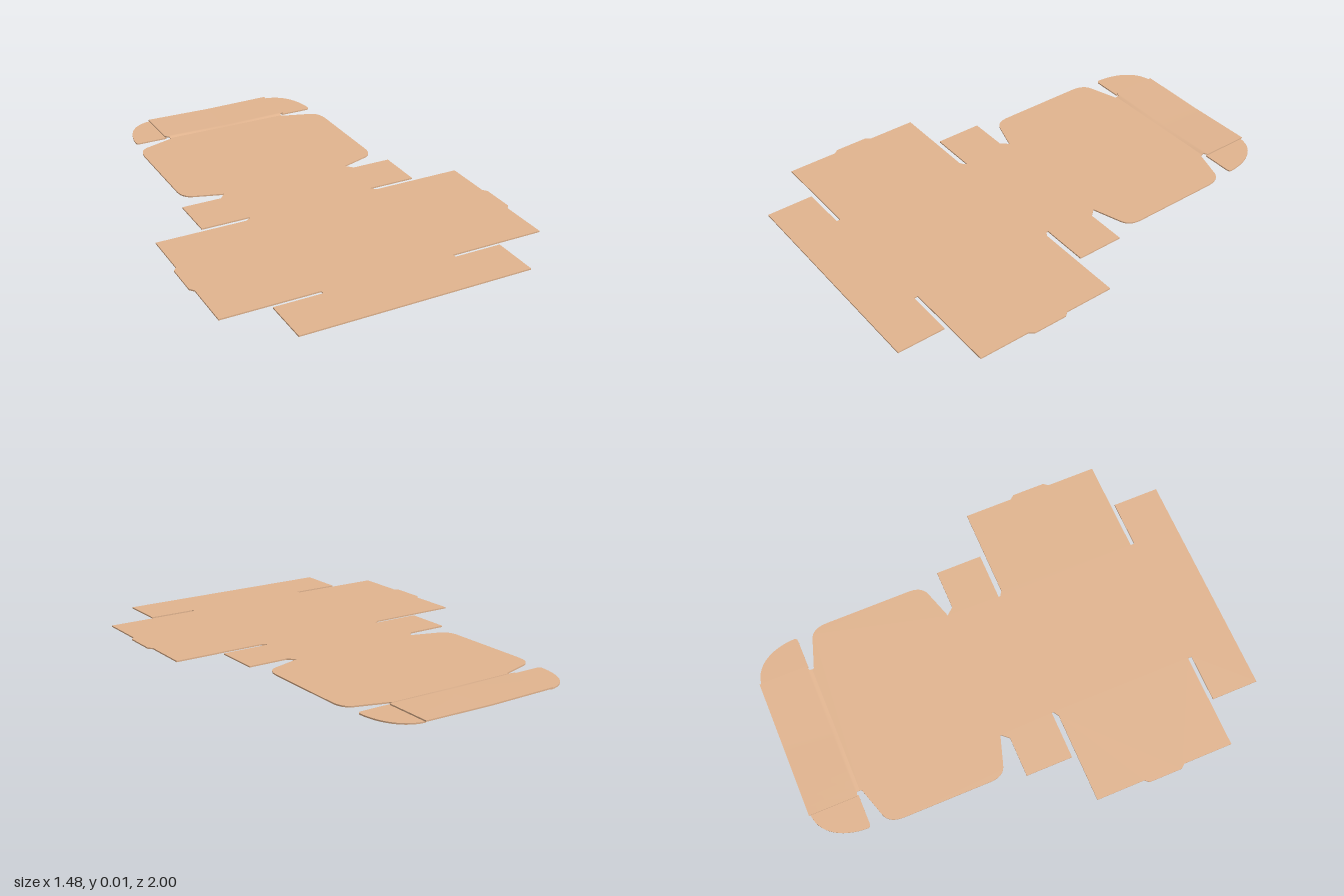
import * as THREE from 'three';

const T = 0.006; // board thickness
const LIFT = 0.006; // height of the tuck panel's ends above the sheet

const outside = new THREE.MeshStandardMaterial({ color: 0xe1b48f });
outside.name = 'kraft tan';
const inside = new THREE.MeshStandardMaterial({ color: 0xcc0000 });
inside.name = 'red';

// Cut a flat panel in plan (shape y = -z): tan top and edges, red underside
function panel(name, shape) {
  const geo = new THREE.ExtrudeGeometry(shape, { depth: T, bevelEnabled: false });
  geo.rotateX(-Math.PI / 2);
  const caps = geo.groups[0].count;
  const total = geo.attributes.position.count;
  geo.clearGroups();
  geo.addGroup(0, caps / 2, 1);
  geo.addGroup(caps / 2, total - caps / 2, 0);
  const mesh = new THREE.Mesh(geo, [outside, inside]);
  mesh.name = name;
  return mesh;
}

// Closed shape from [x, z] points
const polygon = (pts) => new THREE.Shape(pts.map(([x, z]) => new THREE.Vector2(x, -z)));

// Points along a rounded corner
function corner(a, c, b) {
  const v = ([x, z]) => new THREE.Vector2(x, z);
  return new THREE.QuadraticBezierCurve(v(a), v(c), v(b)).getPoints(8).map((q) => [q.x, q.y]);
}

// Mirror a right-hand edge into a closed outline
const mirrored = (half) => polygon([...half, ...half.slice().reverse().map(([x, z]) => [-x, z])]);

// Tuck panel: rises from the lid over a sloping crease and sags slightly in the middle
function tuckPanel() {
  const rows = [[-1.0, 0.315, 1], [-0.785, 0.315, 1], [-0.777, 0.295, 0.7], [-0.765, 0.295, 0]]; // z, half width, rise
  const geo = new THREE.BoxGeometry(2, T, rows.length - 1, 16, 1, rows.length - 1);
  const p = geo.attributes.position;
  for (let i = 0; i < p.count; i++) {
    const [z, halfWidth, rise] = rows[Math.round(p.getZ(i) + (rows.length - 1) / 2)];
    const x = p.getX(i);
    const sag = 0.3 + 0.7 * Math.abs(x);
    p.setXYZ(i, x * halfWidth, p.getY(i) + T / 2 + LIFT * rise * sag, z);
  }
  geo.computeVertexNormals();
  const mesh = new THREE.Mesh(geo, [outside, outside, outside, inside, outside, outside]);
  mesh.name = 'tuckPanel';
  return mesh;
}

export function createModel() {
  const group = new THREE.Group();
  group.name = 'flatBox';

  // Lid, back wall, base with side wings, and front wall in one sheet
  group.add(panel('mainSheet', mirrored([
    [0.295, -0.765], [0.297, -0.757],
    ...corner([0.43, -0.715], [0.475, -0.70], [0.475, -0.63]),
    ...corner([0.475, -0.235], [0.472, -0.175], [0.425, -0.163]),
    [0.30, -0.123], [0.33, -0.09], // lid hinge
    [0.51, -0.09], [0.51, 0.12], [0.295, 0.12], // back wall flaps
    [0.295, 0.128], [0.318, 0.143],
    [0.722, 0.143], [0.722, 0.36], [0.738, 0.38], // side wings with locking tabs
    [0.738, 0.53], [0.722, 0.55], [0.722, 0.772],
    [0.297, 0.772], [0.297, 0.79],
    [0.51, 0.79], [0.51, 1.0], // front wall flaps
  ])));

  group.add(tuckPanel());

  // Rounded ears at both ends of the tuck panel
  const earCurve = new THREE.CubicBezierCurve(
    new THREE.Vector2(0.315, -0.993), new THREE.Vector2(0.41, -0.985),
    new THREE.Vector2(0.455, -0.89), new THREE.Vector2(0.459, -0.795));
  const ear = [
    ...earCurve.getPoints(14).map((q) => [q.x, q.y]),
    ...corner([0.459, -0.79], [0.459, -0.777], [0.44, -0.777]),
    [0.31, -0.777], [0.31, -0.993],
  ];
  for (const s of [1, -1]) {
    group.add(panel(s > 0 ? 'leftEar' : 'rightEar', polygon(ear.map(([x, z]) => [s * x, z]))));
  }
  return group;
}
